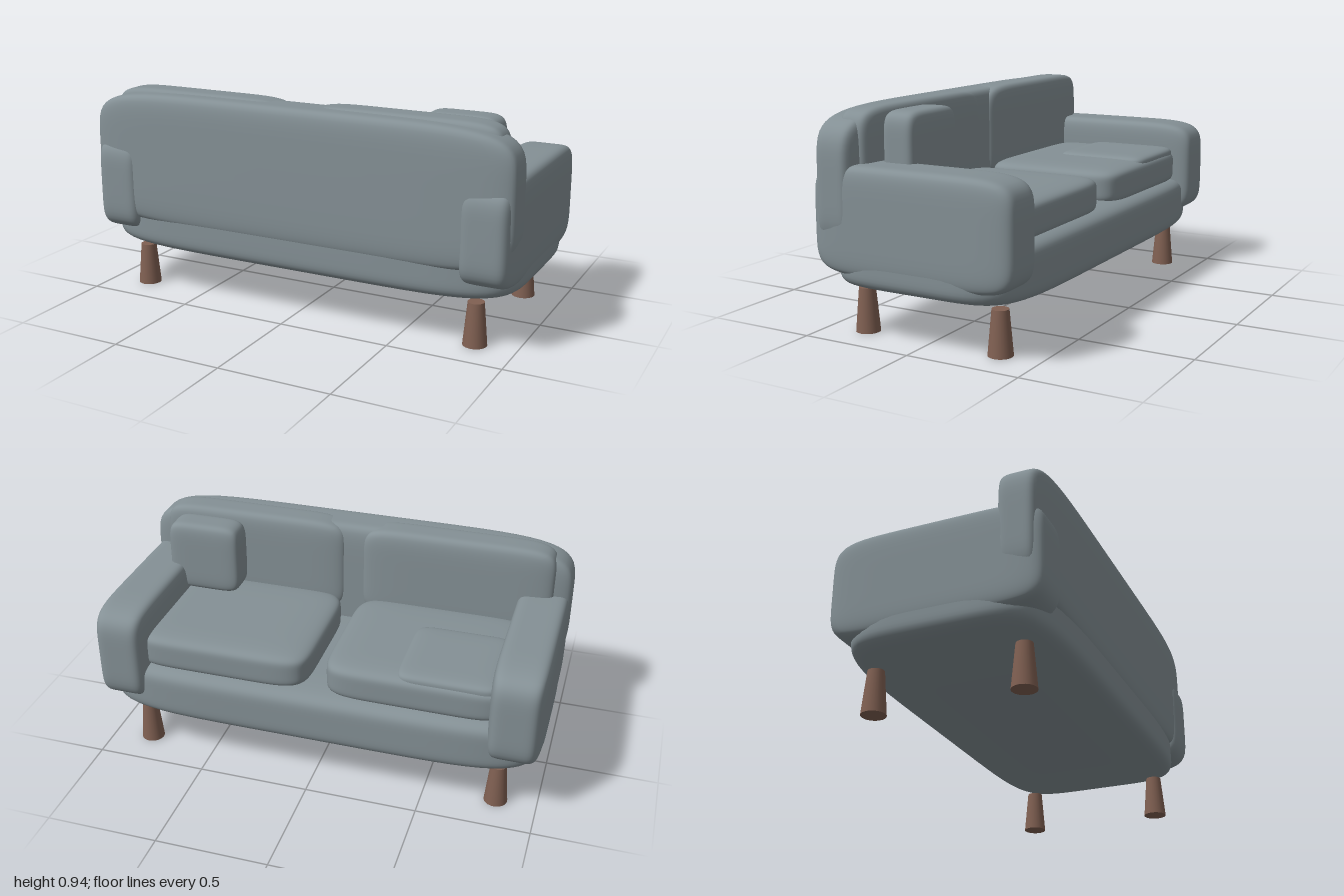
import * as THREE from 'three';
import { mergeVertices } from 'three/addons/utils/BufferGeometryUtils.js';

const fabric = new THREE.MeshStandardMaterial({ color: 0x849095 });
fabric.name = 'greyFabric';
const wood = new THREE.MeshStandardMaterial({ color: 0x806052 });
wood.name = 'brownWood';

// Puffy block filling the given ranges. The outline across the thin axis
// follows exponent a; the edge along the thin axis follows exponent c.
function puff(name, [x0, x1], [y0, y1], [z0, z1], thin, a = 6, c = 6) {
  const n = 26;
  let geo = new THREE.BoxGeometry(2, 2, 2, n, n, n);
  geo.deleteAttribute('uv');
  geo.deleteAttribute('normal');
  geo = mergeVertices(geo, 1e-4);
  const size = [(x1 - x0) / 2, (y1 - y0) / 2, (z1 - z0) / 2];
  const pos = geo.attributes.position;
  const [u, v] = [0, 1, 2].filter((i) => i !== thin);
  for (let i = 0; i < pos.count; i++) {
    // sine spacing gathers the rows near the rounded edges
    const p = [pos.getX(i), pos.getY(i), pos.getZ(i)].map((t) => Math.sin((t * Math.PI) / 2));
    const outline = Math.pow(Math.abs(p[u]) ** a + Math.abs(p[v]) ** a, c / a);
    const f = Math.pow(outline + Math.abs(p[thin]) ** c, 1 / c);
    pos.setXYZ(i, (p[0] / f) * size[0], (p[1] / f) * size[1], (p[2] / f) * size[2]);
  }
  geo.computeVertexNormals();
  const mesh = new THREE.Mesh(geo, fabric);
  mesh.position.set((x0 + x1) / 2, (y0 + y1) / 2, (z0 + z1) / 2);
  mesh.name = name;
  return mesh;
}

// Range mirrored to the given side
const side = (s, lo, hi) => (s > 0 ? [lo, hi] : [-hi, -lo]);

export function createModel() {
  const sofa = new THREE.Group();
  sofa.name = 'sofa';

  // Body: the seat opens towards -z, the backrest stands at +z
  sofa.add(puff('base', [-0.995, 0.995], [0.2, 0.465], [-0.45, 0.445], 1, 6, 6));
  sofa.add(puff('backrest', [-1, 1], [0.335, 0.937], [0.25, 0.455], 2, 6, 7));

  for (const s of [1, -1]) {
    const label = s > 0 ? 'left' : 'right';
    sofa.add(puff(label + 'Arm', side(s, 0.764, 0.998), [0.272, 0.726], [-0.465, 0.463], 0, 6, 7));
    sofa.add(puff(label + 'SeatCushion', side(s, 0.035, 0.85), [0.43, 0.6], [-0.397, 0.27], 1, 7, 6));
    sofa.add(puff(label + 'BackCushion', side(s, 0.04, 0.925), [0.5, 0.945], [0.225, 0.385], 2, 7, 6));

    // Tapered legs
    for (const z of [-0.32, 0.32]) {
      const leg = new THREE.Mesh(new THREE.CylinderGeometry(0.035, 0.052, 0.19, 24), wood);
      leg.position.set(s * 0.82, 0.095, z);
      leg.name = label + (z < 0 ? 'SeatSideLeg' : 'BackSideLeg');
      sofa.add(leg);
    }
  }

  // Loose pillows: one upright, one lying flat on the seat
  sofa.add(puff('uprightPillow', [0.505, 0.847], [0.6, 0.932], [0.062, 0.217], 2, 6, 6));
  sofa.add(puff('flatPillow', [-0.8, -0.357], [0.5, 0.615], [-0.385, 0.055], 1, 8, 6));

  return sofa;
}
